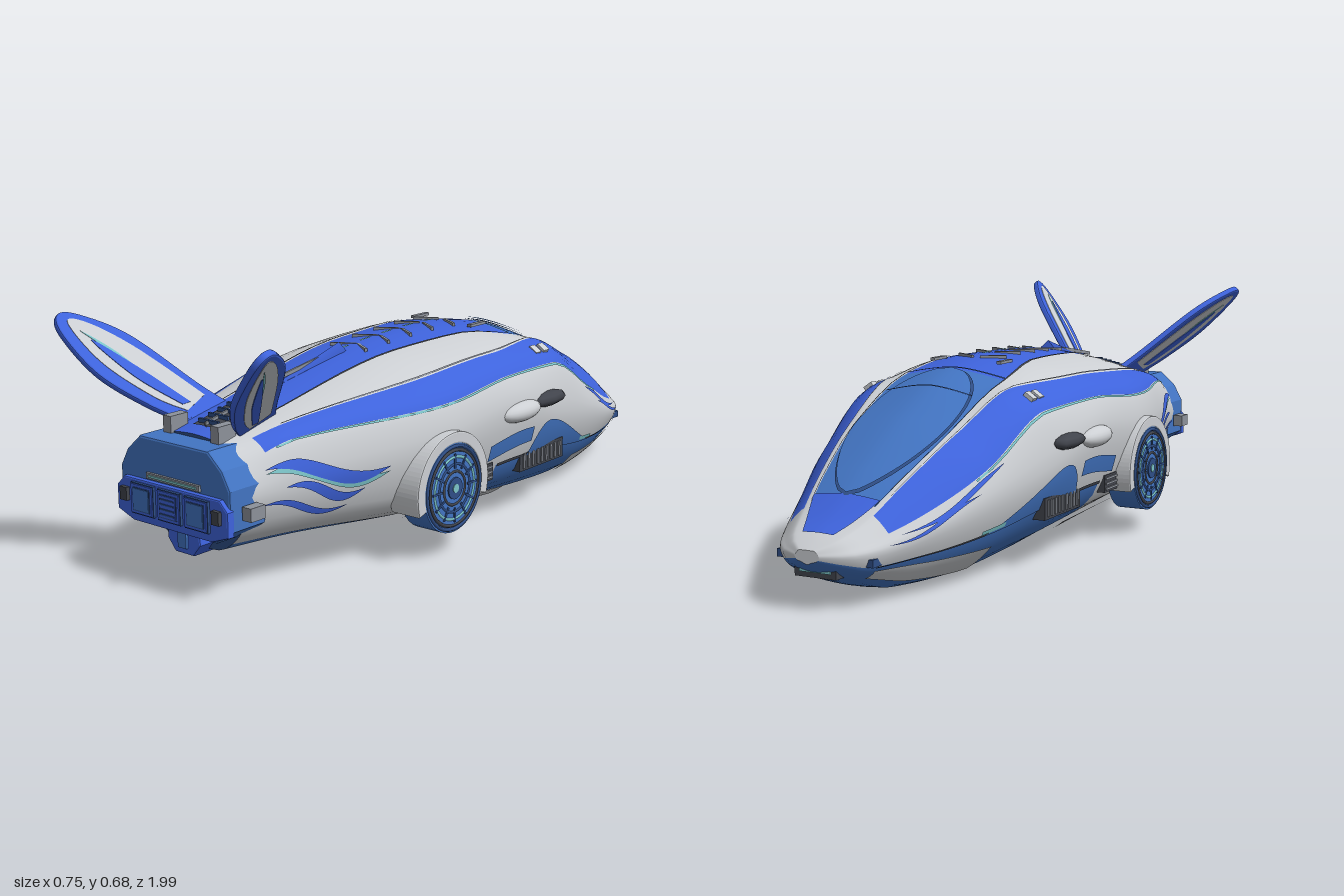
import * as THREE from 'three';

const paint = (name, color) => Object.assign(new THREE.MeshStandardMaterial({ color }), { name });
const royal = paint('royal blue', 0x3e63dc), steel = paint('steel blue', 0x4274c2);
const white = paint('pale grey', 0xcccfd3), grey = paint('mid grey', 0x8c919a);
const dark = paint('charcoal', 0x41444c), teal = paint('teal light', 0x7cc4c8), navy = paint('navy', 0x2f4e86);

// Hull stations: z, roof y, spine edge x, stripe top x, stripe bottom x y, waist x y, sill y, floor y
const stations = [
  [-1, .15, .02, .025, .03, .142, .035, .135, .125, .12],
  [-.97, .17, .05, .06, .08, .15, .095, .135, .11, .095],
  [-.9, .205, .075, .09, .125, .167, .145, .14, .09, .06],
  [-.75, .3, .112, .127, .19, .215, .21, .17, .09, .015],
  [-.55, .41, .145, .165, .255, .3, .275, .22, .1, .005],
  [-.3, .51, .155, .2, .29, .42, .325, .28, .13, .02],
  [-.05, .54, .125, .25, .315, .43, .345, .33, .14, .045],
  [.2, .53, .11, .25, .325, .41, .345, .31, .14, .065],
  [.7, .435, .09, .15, .2, .39, .23, .28, .17, .105],
  [.86, .4, .085, .125, .165, .345, .195, .27, .18, .11],
];
const stationZ = stations.map(r => r[0]);

// Eight lines from spine to keel, each an x and a y per station
const sections = stations.map(([, roof, x1, x2, x3, y3, x4, y4, y5, y6]) => {
  const y1 = roof - x1 * x1, y2 = y1 - (y1 - y3) * ((x2 - x1) / (x3 - x1)) ** 2;
  return { x: [0, x1, x2, x3, x4, .85 * x4, .41 * x4, 0], y: [roof, y1, y2, y3, y4, y5, y6, y6 - .005] };
});
const lineIds = [-1, 0, 1, 2, 3, 4, 5, 6, 7, 8];
const lines = axis => lineIds.slice(1, 9).map(i => sections.map(s => s[axis][i]));
const lineX = lines('x'), lineY = lines('y');

// Cubic interpolation that never overshoots its samples
function smooth(ts, vs, t) {
  const n = ts.length;
  let k = 0;
  while (k < n - 2 && t > ts[k + 1]) k++;
  const slope = i => (vs[i + 1] - vs[i]) / (ts[i + 1] - ts[i]);
  const tangent = i => {
    const a = slope(Math.max(i - 1, 0)), b = slope(Math.min(i, n - 2));
    return a * b <= 0 ? 0 : 2 * a * b / (a + b);
  };
  const h = ts[k + 1] - ts[k], u = (t - ts[k]) / h, w = 1 - u;
  return vs[k] * w * w * (1 + 2 * u) + vs[k + 1] * u * u * (3 - 2 * u) + h * u * w * (w * tangent(k) - u * tangent(k + 1));
}

// Hull point: s runs from 0 at the spine to 7 at the keel, negative on the right
function hullPoint(s, z) {
  const xs = lineX.map(v => smooth(stationZ, v, z)), ys = lineY.map(v => smooth(stationZ, v, z));
  const x = smooth(lineIds, [-xs[1], ...xs, -xs[6]], Math.abs(s));
  return new THREE.Vector3(Math.sign(s) * x, smooth(lineIds, [ys[1], ...ys, ys[6]], Math.abs(s)), z);
}

// Grid of points (rows along z, columns along s) with a material chosen per quad
function gridMesh(name, rows, cols, point, pick) {
  const pos = [], index = [], byMat = new Map(), g = new THREE.BufferGeometry();
  for (let i = 0; i <= rows; i++) for (let j = 0; j <= cols; j++) pos.push(...point(i / rows, j / cols).toArray());
  for (let i = 0; i < rows; i++) for (let j = 0; j < cols; j++) {
    const m = pick((i + .5) / rows, (j + .5) / cols);
    const a = i * (cols + 1) + j, c = a + cols + 1;
    if (!byMat.has(m)) byMat.set(m, []);
    byMat.get(m).push(a, c, a + 1, a + 1, c, c + 1);
  }
  [...byMat.values()].forEach((list, k) => { g.addGroup(index.length, list.length, k); index.push(...list); });
  g.setAttribute('position', new THREE.Float32BufferAttribute(pos, 3));
  g.setIndex(index);
  g.computeVertexNormals();
  return Object.assign(new THREE.Mesh(g, [...byMat.keys()]), { name });
}

const hullColour = (s, z) => {
  if (s < 1) return z < -.83 ? white : z < -.27 ? steel : royal;
  if (s > 2 && s < 3) return z > -.87 && z < .78 ? royal : white;
  if (s < 4.75 || (s < 5.5 && z > 0)) return white;
  return s > 6.25 && z > -.45 ? dark : steel;
};

// Thin plate that follows the hull between two s limits
function plate(name, mat, z0, z1, lo, hi, lift = .004, rows = 24, cols = 6) {
  return gridMesh(name, rows, cols, (t, u) => {
    const z = z0 + (z1 - z0) * t, a = lo(t), s = a + (hi(t) - a) * u, e = .004;
    const ds = hullPoint(s + e, z).sub(hullPoint(s - e, z));
    const dz = hullPoint(s, Math.min(z + e, .86)).sub(hullPoint(s, Math.max(z - e, -1)));
    return hullPoint(s, z).addScaledVector(dz.cross(ds).normalize(), lift);
  }, () => mat);
}

export function createModel() {
  const model = Object.assign(new THREE.Group(), { name: 'car' });
  const add = (name, mat, geo, x = 0, y = 0, z = 0, parent = model) => {
    const m = Object.assign(new THREE.Mesh(geo, mat), { name });
    m.position.set(x, y, z);
    parent.add(m);
    return m;
  };
  const box = (name, mat, w, h, d, x, y, z) => add(name, mat, new THREE.BoxGeometry(w, h, d), x, y, z);
  const outline = pts => new THREE.Shape(pts.map(p => new THREE.Vector2(p[0], p[1])));
  const extrude = (shape, depth, bevel = 0) => new THREE.ExtrudeGeometry(shape, {
    depth, bevelEnabled: bevel > 0, bevelSize: bevel, bevelThickness: bevel, bevelSegments: 2, curveSegments: 24 });

  // Body shell with caps at nose and tail
  model.add(gridMesh('hull', 80, 56, (t, u) => hullPoint(u * 14 - 7, -1 + 1.86 * t),
    (t, u) => hullColour(Math.abs(u * 14 - 7), -1 + 1.86 * t)));
  const cap = (name, mat, z) => add(name, mat, new THREE.ShapeGeometry(
    outline(Array.from({ length: 56 }, (_, j) => hullPoint(j / 4 - 7, z).toArray()))), 0, 0, z);
  cap('tailCap', navy, .86);
  cap('noseCap', white, -1).rotation.y = Math.PI;

  // Canopy outline, glass, seam and the bonnet patch
  const canopyEdge = t => .86 * Math.pow(Math.max(0, Math.sin(Math.PI * t)), .5);
  model.add(plate('canopyRim', navy, -.825, -.285, t => -canopyEdge(t) - .04, t => canopyEdge(t) + .04, .004, 40, 12));
  model.add(plate('canopy', steel, -.82, -.29, t => -canopyEdge(t), canopyEdge, .009, 40, 12));
  model.add(plate('canopySeam', navy, -.415, -.41, () => -.76, () => .76, .012, 1, 16));
  model.add(plate('canopyBackEdge', navy, -.276, -.268, () => -1, () => 1, .004, 1, 16));
  model.add(plate('bonnetPatch', royal, -.95, -.82, t => -.65 - .35 * t, t => .65 + .35 * t, .004, 12, 12));

  // Spine: chevron ribs, light dashes, needle and louvres
  for (let i = 0; i < 5; i++) {
    const z = -.13 + i * .095;
    model.add(plate('spineLight', teal, z + .02, z + .065, () => -.04, () => .04, .005, 3, 2));
    for (const sd of [-1, 1]) {
      const p = hullPoint(sd * .32, z + .015);
      box('spineRib', grey, .075, .01, .008, p.x, p.y, z).rotation.y = -sd * .55;
    }
  }
  const needleY = hullPoint(0, .46).y;
  add('spineNeedle', royal, new THREE.ConeGeometry(.022, .32, 4), 0, needleY, .46).rotation.x = Math.PI / 2 + .21;
  box('needleRidge', grey, .006, .01, .3, 0, needleY + .012, .46).rotation.x = .16;
  model.add(plate('louvrePanel', dark, .62, .82, () => -.45, () => .45));
  for (let i = 0; i < 6; i++) {
    const z = .635 + i * .034;
    box('louvre', navy, .07, .012, .008, 0, hullPoint(0, z).y + .007, z);
  }
  box('louvreKeel', grey, .006, .016, .2, 0, hullPoint(0, .72).y + .004, .72).rotation.x = .22;

  // Trim strips: name, material, z range, s at both ends, width in s, lift
  const strips = [
    ['spineEdge', dark, -.84, .84, 1, 1, .06, .003], ['stripeGlow', teal, -.6, .76, 3.02, 3.02, .07, .003],
    ['sideScoop', steel, -.15, .06, 4.3, 4.4, .22, .005], ['chinPanel', white, -.9, -.5, 4.9, 5.15, .55, .004],
    ['underRail', white, -.12, .3, 5.35, 5.35, .3, .012], ['upperSeam', grey, -.8, .7, 1.9, 1.94, .05, .003],
    ['noseGlow', teal, -.58, -.49, 4.62, 4.62, .09, .005], ['sillLine', dark, -.9, 0, 4.72, 4.72, .05, .003],
  ];
  // Tapered wavy slashes in the same order, without lift
  const slashes = [
    ['rearSlashGlow', teal, .45, .81, 4.2, 3.55, .3], ['rearSlash', royal, .45, .81, 4.1, 3.45, .32],
    ['rearSlash', royal, .52, .76, 4.4, 3.98, .24], ['rearSlash', royal, .56, .83, 4.68, 4.3, .18],
    ['noseSlash', royal, -.84, -.5, 3.4, 3.2, .24], ['noseSlash', royal, -.88, -.6, 3.75, 3.55, .2],
  ];
  for (const sd of [-1, 1]) {
    const sidePlate = (name, mat, z0, z1, a, b, lift) => model.add(sd > 0
      ? plate(name, mat, z0, z1, a, b, lift) : plate(name, mat, z0, z1, t => -b(t), t => -a(t), lift));
    for (const [name, mat, z0, z1, s0, s1, w, lift] of strips) {
      const edge = t => s0 + (s1 - s0) * t;
      sidePlate(name, mat, z0, z1, edge, t => edge(t) + w, lift);
    }
    for (const [name, mat, z0, z1, s0, s1, w] of slashes) {
      const edge = t => s0 + (s1 - s0) * t + .12 * Math.sin(t * 2 * Math.PI);
      sidePlate(name, mat, z0, z1, edge, t => edge(t) + w * Math.sin(Math.PI * t), mat === teal ? .003 : .005);
    }
    sidePlate('sideWindow', steel, -.56, -.15, t => 4.75 - .95 * t * (1 - t ** 6), () => 4.76);

    // Side grilles, pods and fittings
    box('sideGrille', dark, .05, .06, .22, sd * .285, .16, -.23);
    for (let i = 0; i < 9; i++) box('grilleSlat', grey, .006, .045, .008, sd * .311, .16, -.32 + i * .0225);
    box('sillVent', dark, .05, .05, .09, sd * .295, .17, .07);
    for (let i = 0; i < 3; i++) box('sillSlat', grey, .006, .006, .08, sd * .321, .155 + i * .015, .07);
    add('sideFlare', white, new THREE.SphereGeometry(1, 20, 12), sd * .335, .325, -.08).scale.set(.037, .03, .09);
    add('sidePod', dark, new THREE.SphereGeometry(1, 8, 6), sd * .328, .332, -.23).scale.set(.03, .022, .085);
    for (const z of [-.31, -.27]) box('roofFitting', white, .03, .015, .025, sd * .25, .455, z).rotation.z = -sd * .6;
    box('roofVent', grey, .014, .008, .07, sd * .105, .53, -.18);
    box('noseSensor', navy, .02, .02, .05, sd * .13, .115, -.9);
    box('finMount', grey, .028, .05, .06, sd * .085, .41, .84);
    box('tailBracket', grey, .03, .035, .05, sd * .215, .24, .87);
    box('tailBracketCap', dark, .025, .035, .02, sd * .165, .235, .945);

    // Wheel with ringed disc and arch
    const wheel = Object.assign(new THREE.Group(), { name: 'wheel' });
    wheel.position.set(sd * .32, .185, .26);
    wheel.rotation.y = sd * Math.PI / 2;
    model.add(wheel);
    for (const [name, mat, r, d, z] of [['tyre', steel, .124, .084, 0], ['wheelDisc', steel, .1, .006, .042],
      ['wheelHub', navy, .03, .012, .043], ['hubLight', teal, .012, .016, .043]])
      add(name, mat, new THREE.CylinderGeometry(r, r, d, 40), 0, 0, z, wheel).rotation.x = Math.PI / 2;
    for (const [r, m] of [[.115, navy], [.104, dark], [.086, teal], [.066, navy], [.046, dark]])
      add('wheelRing', m, new THREE.TorusGeometry(r, .005, 6, 40), 0, 0, .043, wheel);
    for (let i = 0, a = 0; i < 12; i++, a += Math.PI / 6)
      add('wheelSpoke', navy, new THREE.BoxGeometry(.04, .006, .006), .075 * Math.cos(a), .075 * Math.sin(a), .045, wheel)
        .rotation.z = a;
    const arch = new THREE.Shape();
    arch.absarc(0, 0, .15, -.3, Math.PI + .3, false);
    arch.absarc(0, 0, .126, Math.PI + .3, -.3, true);
    add('wheelArch', white, extrude(arch, .09, .004), 0, 0, -.05, wheel);

    // Tail fin: outlines in z,y laid on a slanted plane that turns outward to the rear
    const fin = Object.assign(new THREE.Group(), { name: 'tailFin' });
    const up = new THREE.Vector3(sd * .65, .76, 0), along = new THREE.Vector3(sd * .76 * .17, -.65 * .17, 1).normalize();
    fin.applyMatrix4(new THREE.Matrix4().makeBasis(along, up, along.clone().cross(up))
      .setPosition(new THREE.Vector3(sd * .108, .405, .84).addScaledVector(along, -.84)));
    model.add(fin);
    const finLayer = (name, mat, depth, bevel, pts) => {
      const [first, ...rest] = pts.map(([z, y]) => new THREE.Vector2(z, (y - .4) / .76));
      const shape = new THREE.Shape().moveTo(first.x, first.y).splineThru(rest);
      add(name, mat, extrude(shape, depth, bevel), 0, 0, -depth / 2, fin);
    };
    finLayer('finBlade', royal, .01, .005,
      [[.65, .39], [.71, .455], [.82, .595], [.92, .665], [.975, .68], [.99, .64], [.955, .54], [.87, .45], [.79, .39]]);
    finLayer('finPanel', white, .023, 0, [[.71, .43], [.82, .565], [.91, .645], [.965, .66], [.935, .56], [.85, .46], [.78, .41]]);
    finLayer('finStripe', royal, .027, 0, [[.76, .425], [.85, .53], [.93, .61], [.87, .51], [.785, .425]]);
    finLayer('finGlow', teal, .025, 0, [[.8, .455], [.88, .57], [.945, .635], [.9, .58], [.83, .49]]);
  }

  // Tail block with lamps
  const mirrored = half => outline([...half, ...half.slice().reverse().map(([x, y]) => [-x, y])]);
  add('tailBlock', steel, extrude(mirrored([[.14, .165], [.19, .2], [.19, .3], [.165, .345], [.12, .385]]), .11, .006), 0, 0, .815);
  add('lampBar', royal, extrude(mirrored([[.14, .17], [.195, .19], [.195, .25], [.17, .275]]), .015, .004), 0, 0, .925);
  for (const x of [-.097, 0, .097]) {
    box('lampFrame', navy, .082, .082, .012, x, .23, .946);
    box('lampRim', royal, .076, .076, .014, x, .23, .948);
    box('lampSeam', navy, .062, .062, .015, x, .23, .949);
    box('lampGlass', x ? steel : royal, .056, .056, .016, x, .23, .95);
  }
  for (let i = 0; i < 4; i++) box('lampSlat', navy, .05, .004, .018, 0, .21 + i * .013, .951);
  box('lightSurround', grey, .19, .016, .01, 0, .292, .933);
  box('tailLight', teal, .17, .006, .014, 0, .292, .934);
  add('tailKeel', royal, extrude(mirrored([[.03, .1], [.055, .13], [.05, .17]]), .2, .005), 0, 0, .7);
  box('tailKeelLamp', steel, .03, .045, .012, 0, .135, .906);

  // Nose intake and floor ribs
  box('noseIntake', dark, .12, .035, .08, 0, .092, -.925);
  box('noseLight', teal, .09, .008, .006, 0, .092, -.966);
  for (let i = 0; i < 6; i++) for (const s of [-7, 6.1])
    model.add(plate('floorRib', navy, -.6 + i * .2, -.58 + i * .2, () => s, () => s + .9, .004, 1));
  return model;
}
